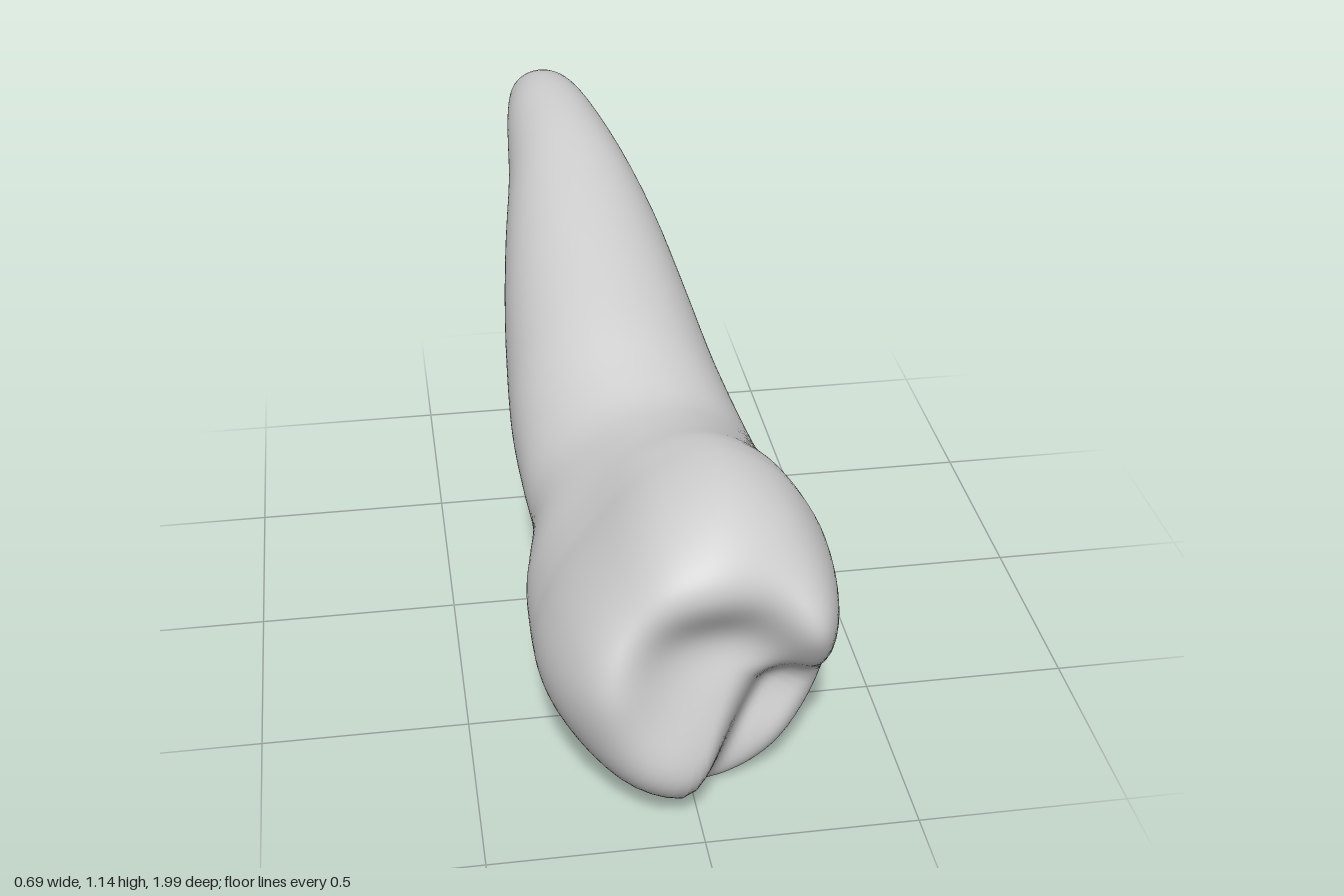
import * as THREE from 'three';
import { mergeVertices } from 'three/addons/utils/BufferGeometryUtils.js';

const SIDES = 80;
const CENTRE_Y = 0.4;

// Crown outline (x, y), counter-clockwise seen from the front
const crownOutline = new THREE.CatmullRomCurve3([
  [0.345, 0.47], [0.322, 0.6], [0.225, 0.735], [0.09, 0.79], [-0.07, 0.742],
  [-0.2, 0.615], [-0.305, 0.475], [-0.346, 0.35], [-0.325, 0.24], [-0.19, 0.08],
  [0.02, 0.002], [0.11, 0.025], [0.21, 0.105], [0.308, 0.27],
].map(([x, y]) => new THREE.Vector3(x, y, 0)), true);

// Sections from root tip to widest crown: z, xMin, xMax, yMin, yMax, crown weight, tilt
const sections = [
  [-1, -0.145, -0.145, 1.025, 1.025, 0, 0],
  [-0.997, -0.185, -0.1, 1.0, 1.055, 0, 0],
  [-0.97, -0.212, -0.07, 0.985, 1.105, 0, 0],
  [-0.92, -0.232, -0.045, 0.962, 1.133, 0, 0],
  [-0.8, -0.25, -0.005, 0.9, 1.14, 0, 0],
  [-0.6, -0.267, 0.055, 0.78, 1.11, 0, 0],
  [-0.4, -0.298, 0.11, 0.645, 1.05, 0, 0],
  [-0.2, -0.322, 0.152, 0.5, 0.978, 0, 0],
  [0, -0.335, 0.19, 0.365, 0.898, 0, 0],
  [0.12, -0.335, 0.215, 0.3, 0.85, 0.05, 0.1],
  [0.24, -0.325, 0.24, 0.25, 0.803, 0.18, 0.3],
  [0.36, -0.312, 0.267, 0.18, 0.768, 0.42, 0.5],
  [0.5, -0.343, 0.306, 0.07, 0.772, 0.8, 0.8],
  [0.59, -0.347, 0.333, 0.02, 0.786, 0.95, 0.95],
  [0.66, -0.346, 0.344, 0.002, 0.79, 1, 1],
];

const bump = (x, y, cx, cy, rx, ry) =>
  Math.exp(-(((x - cx) / rx) ** 2) - ((y - cy) / ry) ** 2);

// Height of the chewing surface: cusps, ridges, basin and groove
function biteHeight(x, y) {
  // distance to the right of the slanting groove
  const side = (x - 0.08) * 0.9 - (y - 0.2) * 0.42;
  const cut = 1 - THREE.MathUtils.smoothstep(side, -0.07, 0.06);
  const upper = THREE.MathUtils.smoothstep(y, 0.28, 0.39);
  return 0.835
    + 0.16 * bump(x, y, -0.08, 0.15, 0.23, 0.22) * Math.max(cut, upper)
    + 0.1 * bump(x, y, -0.22, 0.43, 0.14, 0.18)
    + 0.08 * bump(x, y, 0.0, 0.62, 0.26, 0.12)
    + 0.14 * bump(x, y, 0.31, 0.49, 0.13, 0.16) * upper
    + 0.02 * bump(x, y, 0.19, 0.16, 0.08, 0.12)
    - 0.02 * bump(x, y, 0.06, 0.45, 0.17, 0.08)
    - 0.06 * bump(side, y, 0.05, 0.25, 0.06, 0.15);
}

// Catmull-Rom blend between neighbouring section rows
function sectionAt(t) {
  const last = sections.length - 1;
  const i = Math.min(Math.floor(t), last - 1), f = t - i;
  const row = (k) => sections[THREE.MathUtils.clamp(k, 0, last)];
  return row(i).map((b, k) => {
    const a = row(i - 1)[k], c = row(i + 1)[k], d = row(i + 2)[k];
    return b + 0.5 * f * (c - a + f * (2 * a - 5 * b + 4 * c - d + f * (3 * (b - c) + d - a)));
  });
}

function loft(rings) {
  const positions = rings.flat(2), index = [];
  for (let i = 0; i < rings.length - 1; i++) {
    for (let j = 0; j < SIDES; j++) {
      const k = (j + 1) % SIDES;
      const a = i * SIDES + j, b = i * SIDES + k;
      index.push(a, b, a + SIDES, b, b + SIDES, a + SIDES);
    }
  }
  let geometry = new THREE.BufferGeometry();
  geometry.setAttribute('position', new THREE.Float32BufferAttribute(positions, 3));
  geometry.setIndex(index);
  geometry = mergeVertices(geometry, 1e-5);
  geometry.computeVertexNormals();
  return geometry;
}

export function createModel() {
  const outline = crownOutline.getPoints(SIDES).slice(0, SIDES).map((p) => {
    const u = p.x / 0.345, v = (p.y - 0.396) / 0.394;
    return { u, v, angle: Math.atan2(v, u) };
  });

  // Root and flanks of the crown
  const rings = [];
  const steps = (sections.length - 1) * 3;
  for (let i = 0; i <= steps; i++) {
    const [z, x0, x1, y0, y1, w, tilt] = sectionAt(i / 3);
    rings.push(outline.map(({ u, v, angle }) => {
      const x = (x0 + x1) / 2 + (x1 - x0) / 2 * THREE.MathUtils.lerp(Math.cos(angle), u, w);
      const y = (y0 + y1) / 2 + (y1 - y0) / 2 * THREE.MathUtils.lerp(Math.sin(angle), v, w);
      return [x, y, z + tilt * (0.25 * (CENTRE_Y - y) + 0.14 * x)];
    }));
  }

  // Chewing surface: shrinking rings raised to the bite height
  const rim = rings[rings.length - 1];
  const CAP = 40;
  for (let i = 1; i <= CAP; i++) {
    const s = Math.cos((i / CAP) * Math.PI / 2);
    const rise = Math.sqrt(1 - s ** 6);
    rings.push(rim.map(([rx, ry, rz]) => {
      const x = rx * s, y = CENTRE_Y + (ry - CENTRE_Y) * s;
      return [x, y, THREE.MathUtils.lerp(rz, biteHeight(x, y), rise)];
    }));
  }

  const tooth = new THREE.Mesh(loft(rings), new THREE.MeshStandardMaterial({ color: 0xcccccc }));
  tooth.name = 'tooth';
  const group = new THREE.Group();
  group.name = 'toothModel';
  group.add(tooth);
  return group;
}
